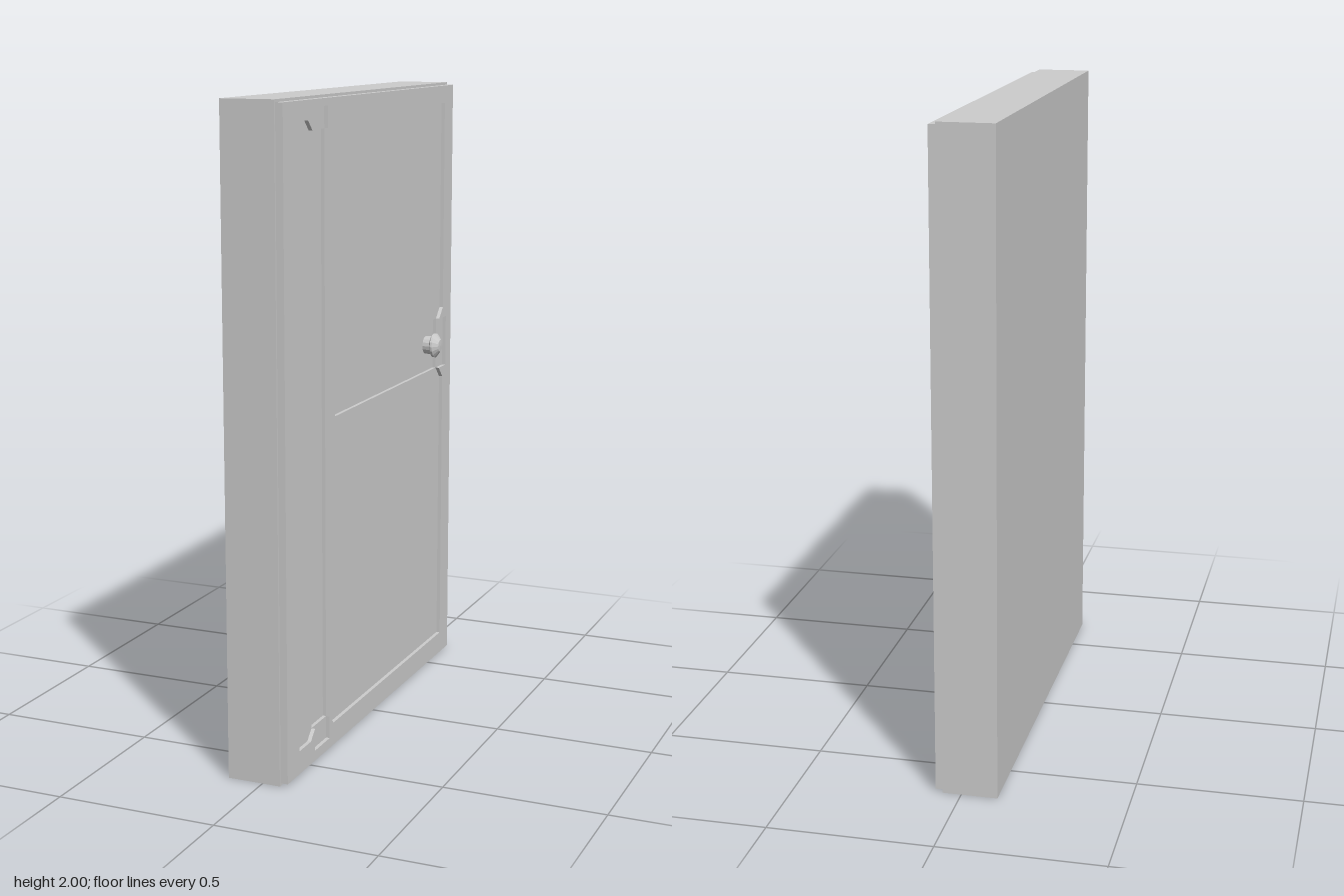
import * as THREE from 'three';

const material = new THREE.MeshStandardMaterial({ color: 0xcccccc, flatShading: true });

// Outline points are [z, y]; layers are extruded along +x.
const toPoints = (pts) => pts.map(([z, y]) => new THREE.Vector2(-z, y));
const rect = (z0, z1, y0, y1) => [[z0, y0], [z1, y0], [z1, y1], [z0, y1]];

function layer(name, outline, holes, x0, x1) {
  const shape = new THREE.Shape(toPoints(outline));
  for (const h of holes) shape.holes.push(new THREE.Path(toPoints(h)));
  const geo = new THREE.ExtrudeGeometry(shape, { depth: x1 - x0, bevelEnabled: false });
  geo.rotateY(Math.PI / 2).translate(x0, 0, 0);
  const mesh = new THREE.Mesh(geo, material);
  mesh.name = name;
  return mesh;
}

export function createModel() {
  const group = new THREE.Group();
  group.name = 'door';

  // Thick slab
  const slab = new THREE.Mesh(new THREE.BoxGeometry(0.168, 2, 1.366), material);
  slab.name = 'slab';
  slab.position.set(-0.027, 1, 0);
  group.add(slab);

  // Panel with a vertical groove and a horizontal strip sunk into it
  const plate = rect(0.677, -0.677, 0.008, 1.992);
  const groove = rect(0.48, 0.37, 0.11, 1.905);
  const strip = rect(0.295, -0.565, 1.04, 1.21);
  group.add(layer('panel', plate, [groove, strip], 0.057, 0.068));

  // Raised frame whose opening narrows around the shallow end pockets
  const opening = [
    [0.595, 0.08], [0.51, 0.08], [0.48, 0.11], [0.48, 0.04], [0.37, 0.04], [0.37, 0.11], [0.34, 0.08],
    [-0.6, 0.08], [-0.6, 1.005], [-0.565, 1.04], [-0.63, 1.04], [-0.63, 1.21], [-0.565, 1.21], [-0.6, 1.245],
    [-0.6, 1.935], [0.34, 1.935], [0.37, 1.905], [0.37, 1.97], [0.48, 1.97], [0.48, 1.905], [0.51, 1.935],
    [0.595, 1.935],
  ];
  group.add(layer('frame', plate, [opening], 0.068, 0.08));

  // Knob with a flared rim and tapered face
  const profile = [[0.03, 0], [0.032, 0.024], [0.041, 0.03], [0.041, 0.037], [0.02, 0.053], [0, 0.054]];
  const knobGeo = new THREE.LatheGeometry(profile.map(([r, h]) => new THREE.Vector2(r, h)), 16);
  knobGeo.rotateZ(-Math.PI / 2);
  const knob = new THREE.Mesh(knobGeo, material);
  knob.name = 'knob';
  knob.position.set(0.057, 1.13, -0.497);
  group.add(knob);

  return group;
}
